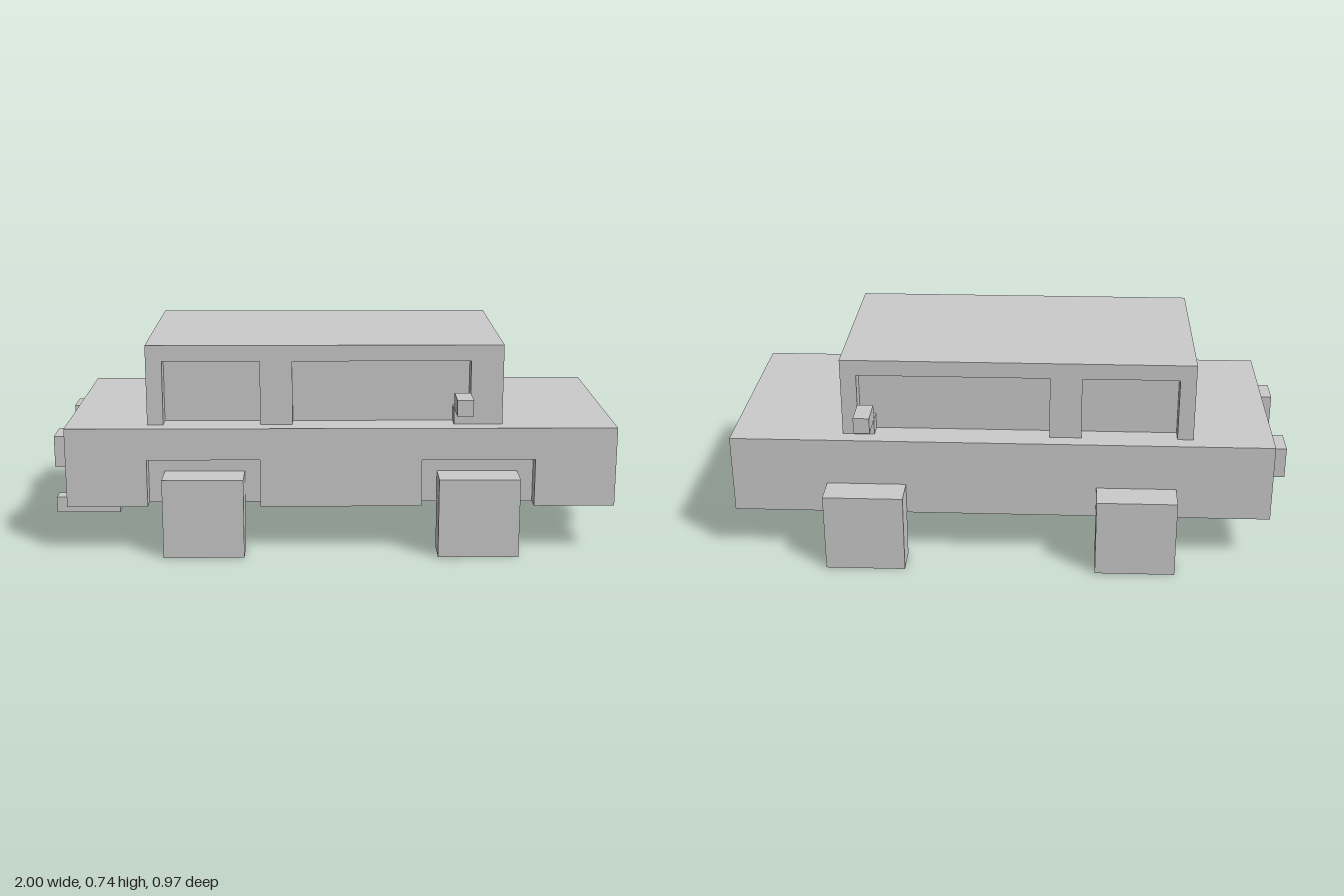
import * as THREE from 'three';

const U = 2 / 35; // one block; the car is 35 blocks long, 17 wide, 13 high
const material = new THREE.MeshStandardMaterial({ color: 0xcccccc, flatShading: true });

export function createModel() {
  const model = new THREE.Group();
  model.name = 'blockCar';
  const car = new THREE.Group(); // built in block units
  car.name = 'car';
  car.scale.setScalar(U);
  car.position.set(-17.5 * U, 0, -8.5 * U);
  model.add(car);

  const add = (name, geometry) => {
    const mesh = new THREE.Mesh(geometry, material);
    mesh.name = name;
    car.add(mesh);
    return mesh;
  };
  // box given by its ranges on x, y and z
  const box = (name, [x0, x1], [y0, y1], [z0, z1]) =>
    add(name, new THREE.BoxGeometry(x1 - x0, y1 - y0, z1 - z0))
      .position.set((x0 + x1) / 2, (y0 + y1) / 2, (z0 + z1) / 2);
  const outline = (points, Type = THREE.Shape) =>
    new Type(points.map(([x, y]) => new THREE.Vector2(x, y)));
  const rect = (x0, x1, y0, y1, Type) =>
    outline([[x0, y0], [x1, y0], [x1, y1], [x0, y1]], Type);
  const slab = (shape) => new THREE.ExtrudeGeometry(shape, { depth: 1, bevelEnabled: false });

  // Lower body, with wheel arches cut into the left side panel
  box('body', [1, 34], [3, 8], [2, 15]);
  const side = outline([
    [1, 3], [6, 3], [6, 6], [13, 6], [13, 3], [23, 3],
    [23, 6], [30, 6], [30, 3], [34, 3], [34, 8], [1, 8],
  ]);
  add('archPanel', slab(side)).position.z = 15;

  // Nose with two recessed headlights
  const nose = rect(2, 16, 3, 8);
  nose.holes.push(rect(3, 8, 5, 7, THREE.Path), rect(10, 15, 5, 7, THREE.Path));
  add('nose', slab(nose).rotateY(-Math.PI / 2)).position.x = 35;

  // Cabin: glass core set in behind the pillars, under the roof
  box('windows', [7, 27], [8, 12], [4, 14]);
  box('roof', [6, 28], [12, 13], [3, 15]);
  for (const [z, front] of [[3, 27], [14, 26]]) {
    for (const xs of [[6, 7], [13, 15], [front, 28]]) box('pillar', xs, [8, 12], [z, z + 1]);
    box('mirrorBase', [front - 1, front], [8, 9], [z, z + 1]);
  }
  box('mirror', [26, 27], [9, 10], [1, 3]);
  box('mirror', [25, 26], [9, 10], [15, 17]);

  // Wheels and axles
  for (const x of [7, 24]) {
    for (const z of [0, 15]) box('wheel', [x, x + 5], [0, 5], [z, z + 2]);
    box('axle', [x + 2, x + 3], [2, 3], [2, 15]);
  }

  // Tail lights, exhaust and front plate
  for (const z of [4, 12]) box('tailLight', [0, 1], [5, 7], [z, z + 2]);
  box('exhaust', [0, 4], [2, 3], [13, 14]);
  box('frontPlate', [34, 35], [2, 3], [7, 11]);

  return model;
}
